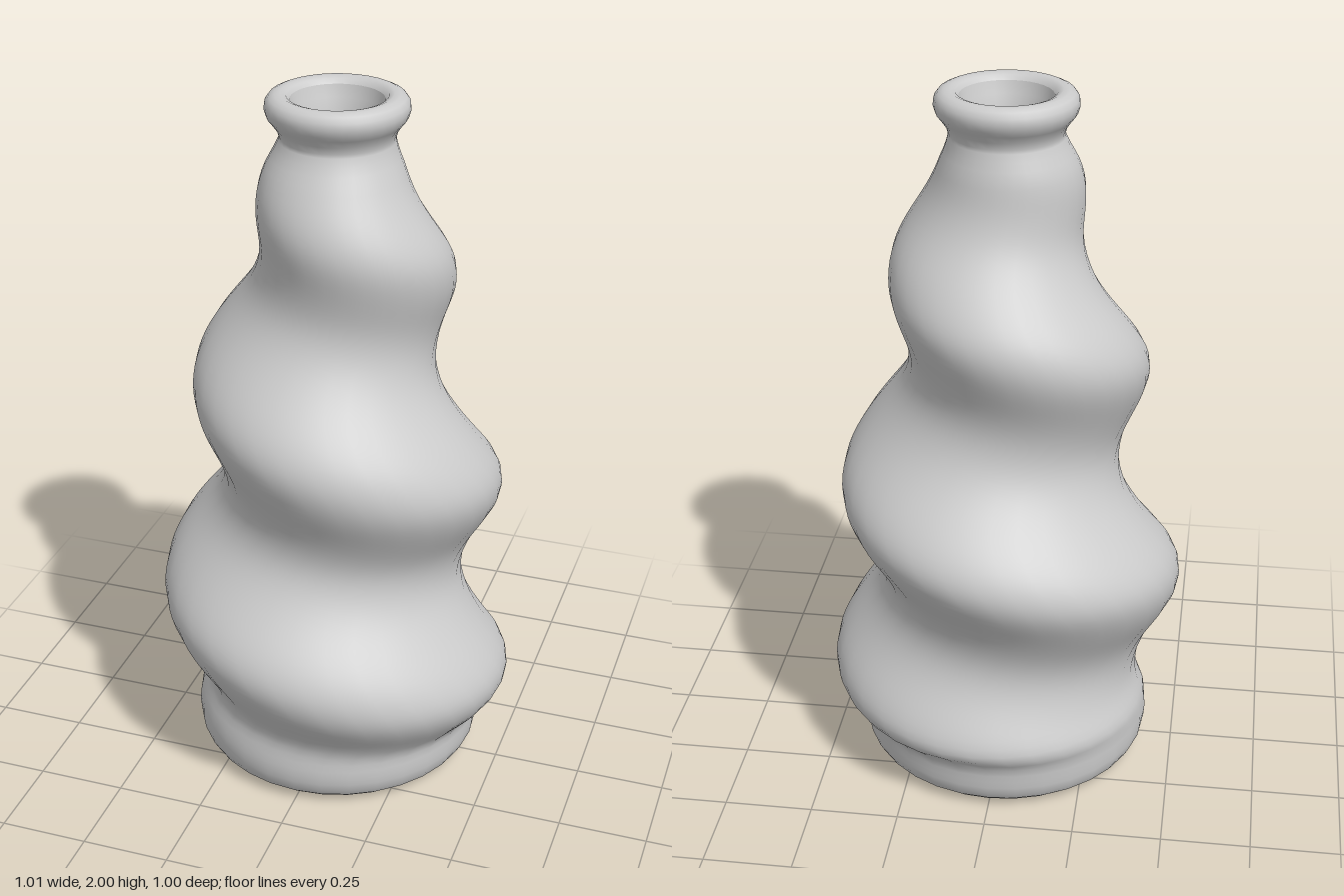
import * as THREE from 'three';
import { mergeVertices } from 'three/addons/utils/BufferGeometryUtils.js';

const SIDES = 32;
const PITCH = 0.66; // height of one turn of the spiral

// Smooth curve through [height, value] pairs
function sampler(pairs) {
  const slope = (i) => {
    const a = pairs[Math.max(i - 1, 0)], b = pairs[Math.min(i + 1, pairs.length - 1)];
    return (b[1] - a[1]) / (b[0] - a[0]);
  };
  return (y) => {
    if (y <= pairs[0][0]) return pairs[0][1];
    for (let i = 0; i < pairs.length - 1; i++) {
      const [y0, v0] = pairs[i], [y1, v1] = pairs[i + 1];
      if (y > y1) continue;
      const h = y1 - y0, t = (y - y0) / h, t2 = t * t, t3 = t2 * t;
      return (2 * t3 - 3 * t2 + 1) * v0 + (t3 - 2 * t2 + t) * h * slope(i)
        + (3 * t2 - 2 * t3) * v1 + (t3 - t2) * h * slope(i + 1);
    }
    return pairs[pairs.length - 1][1];
  };
}

// Mean radius of the body at each height
const radiusAt = sampler([
  [0.03, 0.4], [0.05, 0.412], [0.1, 0.419], [0.15, 0.42], [0.2, 0.437], [0.3, 0.448], [0.4, 0.446],
  [0.5, 0.44], [0.6, 0.428], [0.7, 0.419], [0.8, 0.409], [0.9, 0.392], [1.0, 0.373], [1.1, 0.357],
  [1.2, 0.339], [1.3, 0.321], [1.4, 0.3], [1.5, 0.275], [1.6, 0.249], [1.7, 0.221], [1.8, 0.188],
  [1.85, 0.165], [1.88, 0.154],
]);

// How far the round cross-section swings off the axis
const swingAt = sampler([
  [0.1, 0], [0.15, 0.008], [0.2, 0.042], [0.26, 0.06], [0.4, 0.068], [0.6, 0.073], [0.75, 0.076],
  [1.0, 0.066], [1.25, 0.062], [1.4, 0.06], [1.5, 0.052], [1.6, 0.044], [1.7, 0.028], [1.8, 0.011], [1.88, 0],
]);

// Small constant lean of the body towards the back
const leanAt = sampler([[0, -0.017], [0.5, -0.013], [1.4, -0.01], [2, -0.005]]);

// Turns a profile, then shifts every ring along the spiral
function spiralLathe(name, profile, material) {
  let geo = new THREE.LatheGeometry(profile.map(([r, y]) => new THREE.Vector2(r, y)), SIDES);
  const pos = geo.attributes.position;
  for (let i = 0; i < pos.count; i++) {
    const y = pos.getY(i), d = swingAt(y), a = (2 * Math.PI * (y - 0.92)) / PITCH;
    pos.setX(i, pos.getX(i) + d * Math.cos(a));
    pos.setZ(i, pos.getZ(i) + d * Math.sin(a) + leanAt(y));
  }
  // Weld the seam so the shading runs smoothly round it
  geo.deleteAttribute('uv');
  geo.deleteAttribute('normal');
  geo = mergeVertices(geo, 1e-5);
  geo.computeVertexNormals();
  const mesh = new THREE.Mesh(geo, material);
  mesh.name = name;
  return mesh;
}

export function createModel() {
  const group = new THREE.Group();
  group.name = 'spiralBottle';
  const grey = new THREE.MeshStandardMaterial({ color: 0xcccccc });

  // Outer wall, flowing into the rounded lip
  const wall = [];
  for (let y = 0.03; y < 1.875; y += 0.0225) wall.push([radiusAt(y), y]);
  const lip = [
    [0.154, 1.885], [0.16, 1.905], [0.174, 1.925], [0.186, 1.94], [0.192, 1.96], [0.19, 1.978],
    [0.18, 1.992], [0.165, 1.999], [0.148, 2.0], [0.134, 1.995], [0.125, 1.983],
  ];
  group.add(spiralLathe('body', [...wall, ...lip], grey));

  // Chamfered foot and flat underside
  group.add(spiralLathe('footChamfer', [[0.365, 0], [0.4, 0.03]], grey));
  group.add(spiralLathe('underside', [[0, 0], [0.365, 0]], grey));

  // Throat and hollow inside with its floor
  const inside = [[0.125, 1.983], [0.116, 1.95], [0.104, 1.915], [0.1, 1.88], [0.112, 1.84]];
  for (let y = 1.78; y > 0.1; y -= 0.06) inside.push([radiusAt(y) - 0.05, y]);
  inside.push([0.34, 0.07], [0, 0.06]);
  group.add(spiralLathe('interior', inside, grey));

  return group;
}
